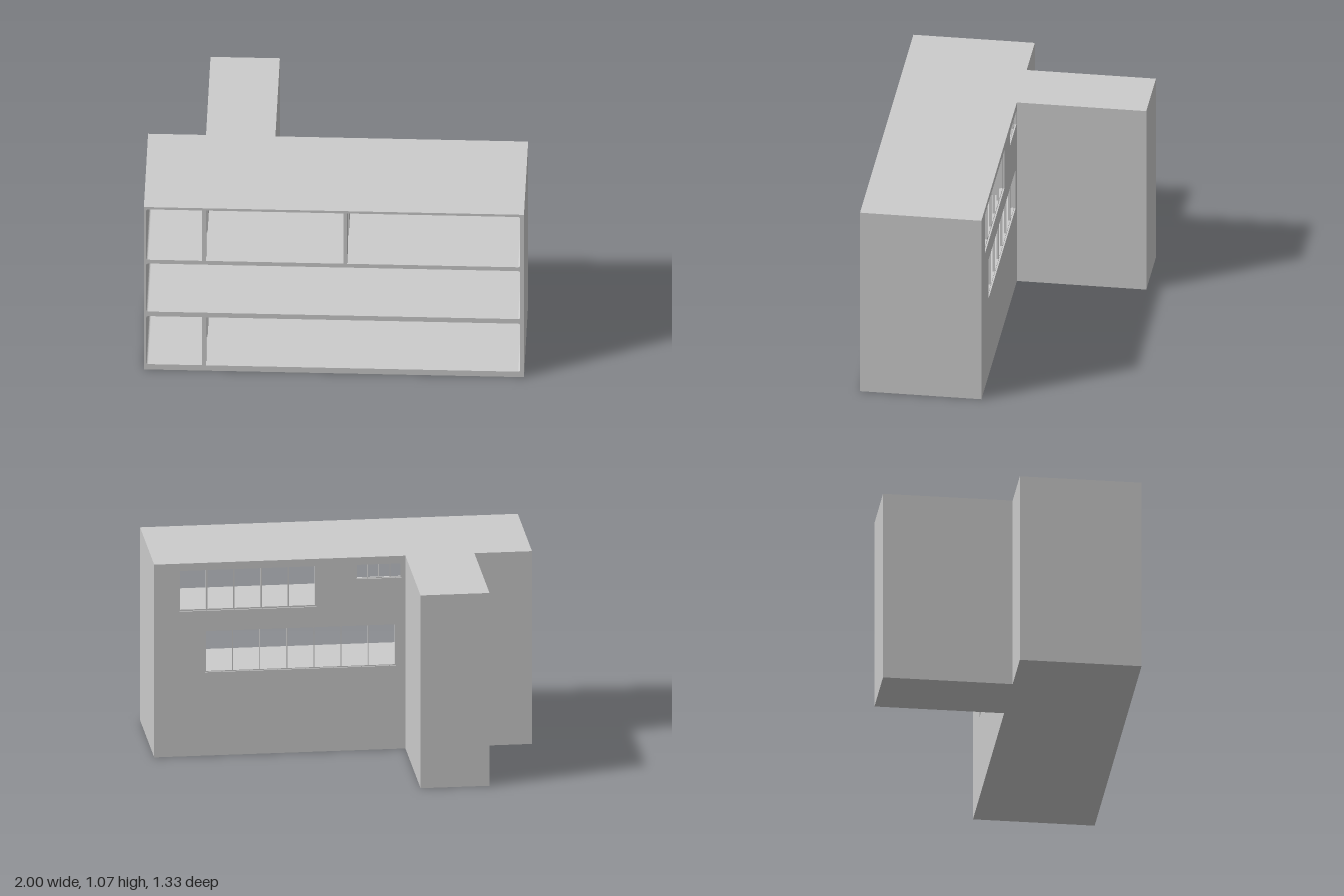
import * as THREE from 'three';

const material = new THREE.MeshStandardMaterial({ color: 0xcccccc });
const FLOORS = [0.035, 0.38, 0.72];
const CEILINGS = [0.35, 0.695, 1.05];
const HEIGHT = 1.065;
const Z_FRONT = 0.665, Z_WALL = 0.05, Z_BACK = 0.02, Z_TOWER = -0.667;

function add(parent, geometry, name) {
  const mesh = new THREE.Mesh(geometry, material);
  mesh.name = name;
  parent.add(mesh);
  return mesh;
}

// Box given by its two extreme corners
function block(parent, name, x0, x1, y0, y1, z0, z1) {
  const mesh = add(parent, new THREE.BoxGeometry(x1 - x0, y1 - y0, z1 - z0), name);
  mesh.position.set((x0 + x1) / 2, (y0 + y1) / 2, (z0 + z1) / 2);
  return mesh;
}

// Rectangle with optional rounded corners, as a Shape or a Path
function rect(x0, x1, y0, y1, r = 0, Type = THREE.Path) {
  const p = new Type();
  if (!r) {
    p.moveTo(x0, y0).lineTo(x1, y0).lineTo(x1, y1).lineTo(x0, y1).closePath();
    return p;
  }
  p.absarc(x1 - r, y0 + r, r, -Math.PI / 2, 0);
  p.absarc(x1 - r, y1 - r, r, 0, Math.PI / 2);
  p.absarc(x0 + r, y1 - r, r, Math.PI / 2, Math.PI);
  p.absarc(x0 + r, y0 + r, r, Math.PI, Math.PI * 1.5);
  p.closePath();
  return p;
}

function extrude(shape, depth) {
  return new THREE.ExtrudeGeometry(shape, { depth, bevelEnabled: false, curveSegments: 5 });
}

// Upright panel from (z, y) points, filling x0..x1
function sidePanel(parent, name, x0, x1, points) {
  const shape = new THREE.Shape(points.map(([z, y]) => new THREE.Vector2(z, y)));
  const geometry = extrude(shape, x1 - x0).rotateY(-Math.PI / 2).translate(x1, 0, 0);
  return add(parent, geometry, name);
}

// Partition with a doorway reaching the floor
function partition(parent, name, x0, x1, level) {
  const y0 = FLOORS[level] - 0.002, y1 = CEILINGS[level] + 0.002, top = FLOORS[level] + 0.26;
  sidePanel(parent, name, x0, x1, [
    [Z_WALL, y0], [0.415, y0], [0.415, top], [0.55, top], [0.55, y0],
    [Z_FRONT, y0], [Z_FRONT, y1], [Z_WALL, y1],
  ]);
}

// Window frame with evenly spaced mullions
function windowFrame(parent, name, [x0, x1, y0, y1], panes, t) {
  const group = new THREE.Group();
  group.name = name;
  const z0 = 0.028, z1 = 0.04;
  for (let i = 0; i <= panes; i++) {
    const x = x0 + t / 2 + ((x1 - x0 - t) * i) / panes;
    block(group, 'mullion', x - t / 2, x + t / 2, y0, y1, z0, z1);
  }
  block(group, 'windowSill', x0, x1, y0, y0 + t, z0, z1);
  block(group, 'windowHead', x0, x1, y1 - t, y1, z0, z1);
  parent.add(group);
}

// Straight flight of steps with a solid balustrade on its inner side
function flight(parent, name, x0, x1, railX, y0, y1, z0, z1) {
  const group = new THREE.Group();
  group.name = name;
  const n = 9, rise = (y1 - y0) / n, run = (z1 - z0) / n;
  for (let i = 0; i < n; i++) {
    const za = z0 + run * i, zb = za + run, top = y0 + rise * (i + 1);
    block(group, 'step', x0, x1, top - rise * 1.8, top, Math.min(za, zb), Math.max(za, zb));
  }
  sidePanel(group, 'balustrade', railX, railX + 0.005,
    [[z0, y0], [z1, y1], [z1, y1 + 0.12], [z0, y0 + 0.12]]);
  parent.add(group);
}

export function createModel() {
  const model = new THREE.Group();
  model.name = 'cutawayBuilding';

  // Open-fronted shell: one rounded opening per storey
  const shell = rect(-1, 1, 0, HEIGHT, 0, THREE.Shape);
  FLOORS.forEach((y, i) => shell.holes.push(rect(-0.988, 0.98, y, CEILINGS[i], 0.012)));
  add(model, extrude(shell, Z_FRONT - Z_WALL).translate(0, 0, Z_WALL), 'shell');

  // Back wall with windows and stairwell doorways
  const upperWindow = [0.14, 0.87, 0.8, 1.03];
  const middleWindow = [-0.28, 0.73, 0.46, 0.69];
  const smallWindow = [-0.31, -0.07, 0.945, 1.025];
  const backWall = rect(-1, 1, 0, HEIGHT, 0, THREE.Shape);
  for (const w of [upperWindow, middleWindow, smallWindow]) backWall.holes.push(rect(...w));
  for (const y of FLOORS) backWall.holes.push(rect(-0.56, -0.41, y, y + 0.262));
  add(model, extrude(backWall, Z_WALL - Z_BACK).translate(0, 0, Z_BACK), 'backWall');

  windowFrame(model, 'upperWindow', upperWindow, 5, 0.008);
  windowFrame(model, 'middleWindow', middleWindow, 7, 0.005);
  windowFrame(model, 'smallWindow', smallWindow, 4, 0.004);

  // Interior partitions
  partition(model, 'lowerPartition', -0.695, -0.673, 0);
  partition(model, 'upperLeftPartition', -0.695, -0.673, 2);
  partition(model, 'upperRightPartition', 0.05, 0.07, 2);

  // Stair tower: U-shaped walls in plan, closed below and above
  const tower = new THREE.Group();
  tower.name = 'stairTower';
  model.add(tower);
  const tx0 = -0.695, tx1 = -0.33, t = 0.02;
  const plan = new THREE.Shape([
    [tx0, Z_BACK], [tx0, Z_TOWER], [tx1, Z_TOWER], [tx1, Z_BACK],
    [tx1 - t, Z_BACK], [tx1 - t, Z_TOWER + t], [tx0 + t, Z_TOWER + t], [tx0 + t, Z_BACK],
  ].map(([x, z]) => new THREE.Vector2(x, -z)));
  add(tower, extrude(plan, HEIGHT).rotateX(-Math.PI / 2), 'towerWalls');
  const ix0 = tx0 + t, ix1 = tx1 - t, iz = Z_TOWER + t;
  block(tower, 'towerFloor', ix0, ix1, 0, FLOORS[0], iz, Z_BACK);
  block(tower, 'towerRoof', ix0, ix1, CEILINGS[2], HEIGHT, iz, Z_BACK);

  // Two storeys of half-turn stairs
  const zNear = -0.13, zFar = -0.5;
  for (let i = 0; i < 2; i++) {
    const y0 = FLOORS[i], y1 = FLOORS[i + 1], mid = (y0 + y1) / 2;
    flight(tower, 'lowerFlight', -0.51, ix1, -0.515, y0, mid, zNear, zFar);
    flight(tower, 'upperFlight', ix0, -0.528, -0.533, mid, y1, zFar, zNear);
    block(tower, 'halfLanding', ix0, ix1, mid - 0.03, mid, iz, zFar);
    block(tower, 'floorLanding', ix0, ix1, y1 - 0.03, y1, zNear, Z_BACK);
  }

  return model;
}
